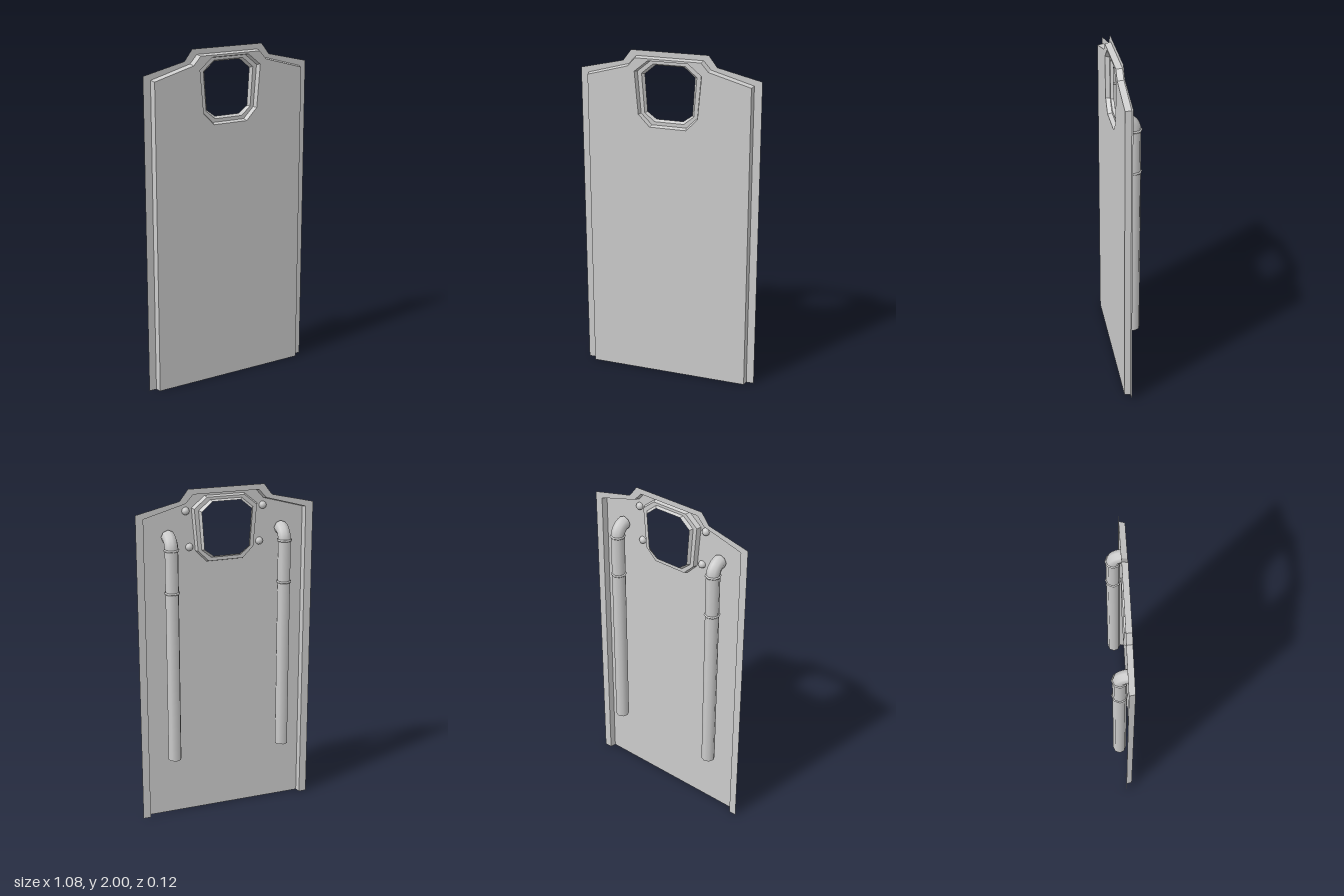
import * as THREE from 'three';

const flat = new THREE.MeshStandardMaterial({ color: 0xcccccc, flatShading: true, side: THREE.DoubleSide });
const smooth = new THREE.MeshStandardMaterial({ color: 0xcccccc });

const FRONT = 0.06, BACK = 0.025;

// Mirrors a right-hand half outline (bottom to top) to a full counter-clockwise one
const mirrored = (half) => [...half, ...half.slice().reverse().map(([x, y]) => [-x, y])];

// Joins successive outlines (outermost first), each { pts, z }, with quads
function loft(rings, closed) {
  const pos = [], index = [], n = rings[0].pts.length;
  for (const { pts, z } of rings) for (const [x, y] of pts) pos.push(x, y, z);
  for (let r = 0; r < rings.length - 1; r++) {
    for (let i = 0; i < (closed ? n : n - 1); i++) {
      const a = r * n + i, b = r * n + (i + 1) % n;
      index.push(a, b, b + n, a, b + n, a + n);
    }
  }
  const g = new THREE.BufferGeometry();
  g.setAttribute('position', new THREE.Float32BufferAttribute(pos, 3));
  g.setIndex(index);
  const out = g.toNonIndexed();
  out.computeVertexNormals();
  return out;
}

function add(parent, name, geometry, material, x = 0, y = 0, z = 0) {
  const mesh = new THREE.Mesh(geometry, material);
  mesh.name = name;
  mesh.position.set(x, y, z);
  parent.add(mesh);
  return mesh;
}

// One standing pipe with two collars and an elbow turning into the panel
function makePipe(x) {
  const pipe = new THREE.Group();
  pipe.name = x > 0 ? 'leftPipe' : 'rightPipe';
  pipe.position.set(x, 0, -0.013);
  const bottom = 0.385, top = 1.67, r = 0.04, bend = 0.063;
  add(pipe, 'pipeShaft', new THREE.CylinderGeometry(r, r, top - bottom, 8), smooth, 0, (top + bottom) / 2, 0);
  for (const y of [1.42, top]) {
    const collar = new THREE.TorusGeometry(r, 0.007, 6, 8);
    collar.rotateX(Math.PI / 2);
    add(pipe, 'pipeCollar', collar, smooth, 0, y, 0);
  }
  const arc = [];
  for (let i = 0; i <= 6; i++) {
    const a = (i / 6) * Math.PI / 2;
    arc.push(new THREE.Vector3(0, top + bend * Math.sin(a), bend * (1 - Math.cos(a))));
  }
  add(pipe, 'pipeElbow', new THREE.TubeGeometry(new THREE.CatmullRomCurve3(arc), 8, r, 8), smooth);
  return pipe;
}

export function createModel() {
  const model = new THREE.Group();
  model.name = 'panelWithPipes';

  // Panel outlines: flange edge, foot of the step, front face
  const rim = mirrored([[0.54, 0], [0.54, 1.875], [0.28, 1.935], [0.23, 2]]);
  const foot = mirrored([[0.494, 0], [0.494, 1.849], [0.245, 1.918], [0.2, 1.968]]);
  const face = mirrored([[0.487, 0], [0.487, 1.844], [0.24, 1.912], [0.195, 1.962]]);

  // Window outlines
  const windowOuter = mirrored([[0.11, 1.565], [0.178, 1.635], [0.2, 1.885], [0.12, 1.95]]);
  const windowInner = mirrored([[0.08, 1.605], [0.135, 1.645], [0.15, 1.865], [0.085, 1.92]]);
  const between = (t) => windowOuter.map(([x, y], i) => [
    x + (windowInner[i][0] - x) * t, y + (windowInner[i][1] - y) * t]);

  // Front sheet with the window cut out
  const shape = new THREE.Shape(face.map(([x, y]) => new THREE.Vector2(x, y)));
  shape.holes.push(new THREE.Path(windowOuter.map(([x, y]) => new THREE.Vector2(x, y))));
  add(model, 'panelFace', new THREE.ShapeGeometry(shape), flat, 0, 0, FRONT);

  // Flat flange and the step up to the face, open at the bottom
  add(model, 'panelFlange', loft([{ pts: rim, z: BACK }, { pts: foot, z: BACK }], false), flat);
  add(model, 'panelStep', loft([{ pts: foot, z: BACK }, { pts: face, z: FRONT }], false), flat);

  // Recessed window surround
  add(model, 'windowFrame', loft([
    { pts: windowOuter, z: FRONT },
    { pts: between(0.2), z: 0.035 },
    { pts: between(0.7), z: 0.035 },
    { pts: windowInner, z: 0.019 },
  ], true), flat);

  for (const side of [1, -1]) {
    // Domed rivets on the back, beside the window
    for (const [x, y] of [[0.235, 1.87], [0.215, 1.66]]) {
      const dome = new THREE.SphereGeometry(0.023, 10, 4, 0, Math.PI * 2, 0, Math.PI / 2);
      dome.rotateX(-Math.PI / 2);
      add(model, 'rivet', dome, smooth, side * x, y, FRONT - 0.001);
    }
    model.add(makePipe(side * 0.345));
  }
  return model;
}
